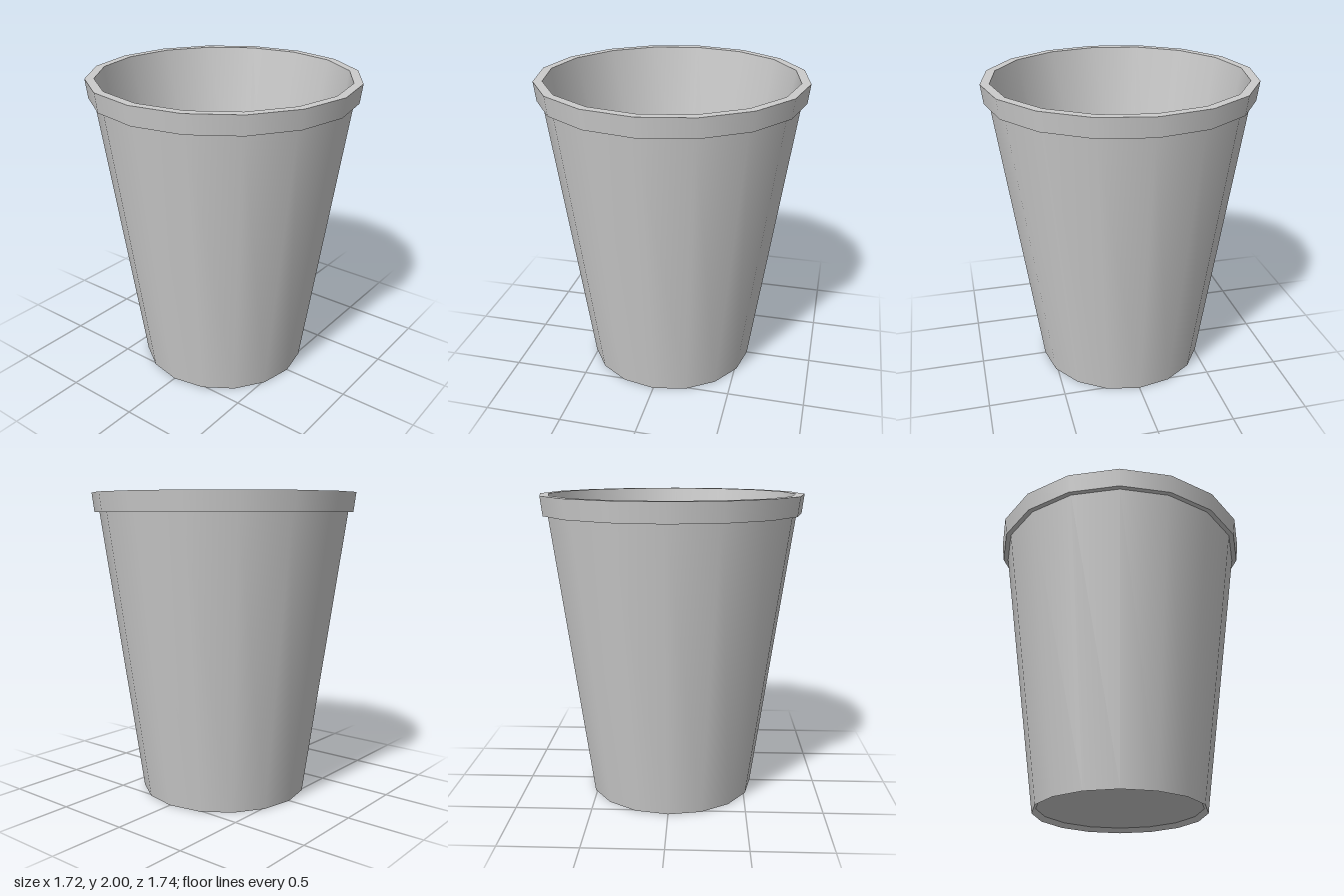
import * as THREE from 'three';

const SIDES = 16;

export function createModel() {
  const group = new THREE.Group();
  group.name = 'cup';
  const material = new THREE.MeshStandardMaterial({ color: 0xcccccc, side: THREE.DoubleSide });

  // One smooth ring of faces between two radius/height pairs; separate bands keep their shared edges sharp.
  function band(name, r0, y0, r1, y1) {
    const profile = [new THREE.Vector2(r0, y0), new THREE.Vector2(r1, y1)];
    const geometry = new THREE.LatheGeometry(profile, SIDES);
    // The cross-section is very slightly deeper than wide towards the mouth.
    const p = geometry.attributes.position;
    for (let i = 0; i < p.count; i++) p.setZ(i, p.getZ(i) * (1 + 0.004 * p.getY(i)));
    geometry.normalizeNormals();
    const mesh = new THREE.Mesh(geometry, material);
    mesh.name = name;
    group.add(mesh);
  }

  // Tapered body
  band('outerWall', 0.555, 0, 0.814, 1.877);
  band('innerWall', 0.804, 2, 0.53, 0.03);

  // Raised lip around the mouth
  band('lipUnderside', 0.814, 1.877, 0.846, 1.877);
  band('lipSide', 0.846, 1.877, 0.861, 2);
  band('lipTop', 0.861, 2, 0.804, 2);

  // Thin floor, recessed a little above the foot edge
  band('floor', 0.53, 0.03, 0, 0.03);
  band('footInside', 0.53, 0.03, 0.555, 0);

  return group;
}
